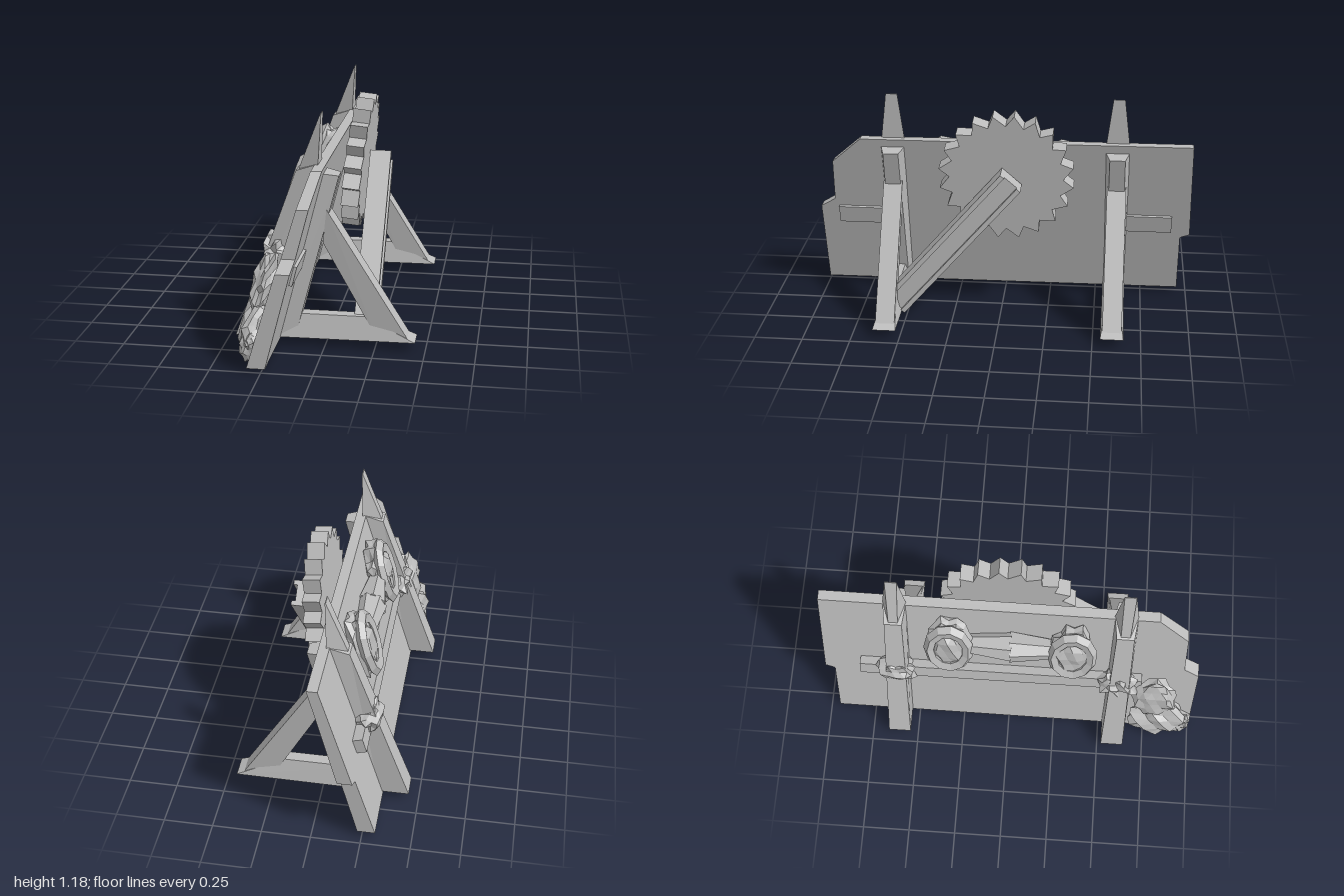
import * as THREE from 'three';

const grey = new THREE.MeshStandardMaterial({ color: 0xbcbcbc, flatShading: true });
grey.name = 'plain grey';

function add(parent, name, geometry) {
  const mesh = new THREE.Mesh(geometry, grey);
  mesh.name = name;
  parent.add(mesh);
  return mesh;
}

// Bar whose side outline is four corners [x, y, half depth], counter-clockwise.
function taperBar(corners) {
  const g = new THREE.BoxGeometry(2, 2, 2);
  const p = g.attributes.position;
  for (let i = 0; i < p.count; i++) {
    const right = p.getX(i) > 0, top = p.getY(i) > 0;
    const [x, y, w] = corners[top ? (right ? 2 : 3) : (right ? 1 : 0)];
    p.setXYZ(i, x, y, Math.sign(p.getZ(i)) * w);
  }
  g.computeVertexNormals();
  return g;
}

// Rough faceted lump; the offset depends only on position so faces stay joined.
function lump(rx, ry, rz, rough, seed) {
  const g = new THREE.IcosahedronGeometry(1, 2);
  const p = g.attributes.position;
  for (let i = 0; i < p.count; i++) {
    const x = p.getX(i), y = p.getY(i), z = p.getZ(i);
    const k = 1 + rough * Math.sin(7 * x + seed) * Math.cos(6 * y - seed) + rough * Math.sin(9 * z + 5 * y + seed);
    p.setXYZ(i, x * k * rx, y * k * ry, z * k * rz);
  }
  g.computeVertexNormals();
  return g;
}

// Flat outline in (-z, y), extruded one unit along x.
function sideExtrude(points, depth) {
  const shape = new THREE.Shape(points.map(([z, y]) => new THREE.Vector2(-z, y)));
  return new THREE.ExtrudeGeometry(shape, { depth, bevelEnabled: false }).rotateY(Math.PI / 2);
}

export function createModel() {
  const model = new THREE.Group();
  model.name = 'barricade';

  // Leaning wall with clipped corners
  const wall = sideExtrude([
    [1, 0], [1, 0.48], [0.92, 0.53], [0.91, 0.77], [0.75, 0.915],
    [-0.99, 0.92], [-1, 0.37], [-0.95, 0.35], [-0.95, 0.01],
  ], 1);
  const wp = wall.attributes.position;
  for (let i = 0; i < wp.count; i++) {
    const y = wp.getY(i);
    wp.setX(i, wp.getX(i) > 0.5 ? -0.23 + 0.26 * y : -0.32 + 0.3 * y);
  }
  wall.computeVertexNormals();
  add(model, 'wall', wall);

  // Two support frames, each with a spiked post on the outer face
  for (const z of [0.58, -0.6]) {
    const frame = new THREE.Group();
    frame.name = 'supportFrame';
    frame.position.z = z;
    model.add(frame);
    add(frame, 'upright', taperBar([[-0.25, 0.02, 0.06], [-0.15, 0.02, 0.045], [0.07, 0.86, 0.04], [-0.02, 0.875, 0.065]]));
    add(frame, 'brace', taperBar([[0.25, 0.05, 0.04], [0.41, 0.045, 0.05], [0.01, 0.69, 0.05], [-0.01, 0.52, 0.04]]));
    add(frame, 'foot', taperBar([[-0.24, 0.02, 0.06], [0.45, 0.025, 0.06], [0.2, 0.14, 0.03], [-0.17, 0.14, 0.03]]));
    add(frame, 'spikedPost', taperBar([[-0.45, 0.02, 0.06], [-0.3, 0.02, 0.06], [-0.03, 0.92, 0.06], [-0.14, 0.88, 0.045]]));
    add(frame, 'spikeTip', taperBar([[-0.2, 0.7, 0.02], [-0.03, 0.88, 0.065], [-0.018, 1.16, 0.03], [-0.022, 1.16, 0.03]]));
    add(frame, 'postBinding', lump(0.07, 0.09, 0.1, 0.2, 2 + z)).position.set(-0.23, 0.47, 0);
  }

  // Rails across both faces of the wall
  const rail = add(model, 'outerRail', new THREE.BoxGeometry(0.06, 0.08, 1.5));
  rail.position.set(-0.21, 0.44, -0.05);
  rail.rotation.z = -0.28;
  for (const z of [0.77, -0.77]) {
    const clip = add(model, 'innerRail', new THREE.BoxGeometry(0.03, 0.1, 0.26));
    clip.position.set(-0.115, 0.44, z);
    clip.rotation.z = -0.25;
  }

  // Toothed wheel
  const teeth = [], count = 20;
  for (let i = 0; i < count; i++) {
    for (const [turn, r] of [[0, 0.295], [0.6, 0.352]]) {
      const a = (i + turn) / count * Math.PI * 2;
      teeth.push([-Math.cos(a) * r, Math.sin(a) * r]);
    }
  }
  const wheel = add(model, 'toothedWheel', sideExtrude(teeth, 0.09).translate(-0.045, 0, 0));
  wheel.position.set(0.088, 0.773, -0.03);
  wheel.rotation.z = -0.1;

  // Diagonal prop with raised edges that holds the wheel
  const prop = new THREE.Group();
  prop.name = 'prop';
  prop.position.set(0.197, 0.43, 0.245);
  prop.rotation.x = -0.71;
  model.add(prop);
  add(prop, 'propBeam', new THREE.BoxGeometry(0.09, 0.94, 0.13)).position.x = -0.01;
  for (const s of [-1, 1]) add(prop, 'propEdge', new THREE.BoxGeometry(0.11, 0.94, 0.025)).position.z = s * 0.055;

  // Carved ornament on the outer face
  const ornament = new THREE.Group();
  ornament.name = 'ornament';
  ornament.position.set(-0.15, 0.7, 0);
  ornament.rotation.z = -0.29;
  model.add(ornament);
  for (const s of [-1, 1]) {
    add(ornament, 'ornamentHead', lump(0.07, 0.18, 0.115, 0.13, s)).position.z = s * 0.32;
    const rim = add(ornament, 'ornamentRim', new THREE.TorusGeometry(0.1, 0.03, 5, 11).rotateY(Math.PI / 2));
    rim.scale.y = 1.5;
    rim.position.set(-0.04, 0, s * 0.32);
    const neck = add(ornament, 'ornamentNeck', new THREE.CylinderGeometry(0.05, 0.085, 0.25, 7));
    neck.rotation.x = s * Math.PI / 2;
    neck.position.z = s * 0.12;
  }

  // Rubble heaped at the front end
  const heap = [[-0.31, 0.14, 0.82, 0.065, 0.13, 0.16], [-0.27, 0.36, 0.78, 0.055, 0.15, 0.12], [-0.31, 0.1, 0.94, 0.05, 0.08, 0.05]];
  heap.forEach(([x, y, z, rx, ry, rz], i) => {
    const rock = add(model, 'rubble', lump(rx, ry, rz, 0.14, i * 2));
    rock.position.set(x, y, z);
    rock.rotation.z = -0.28;
  });

  return model;
}
